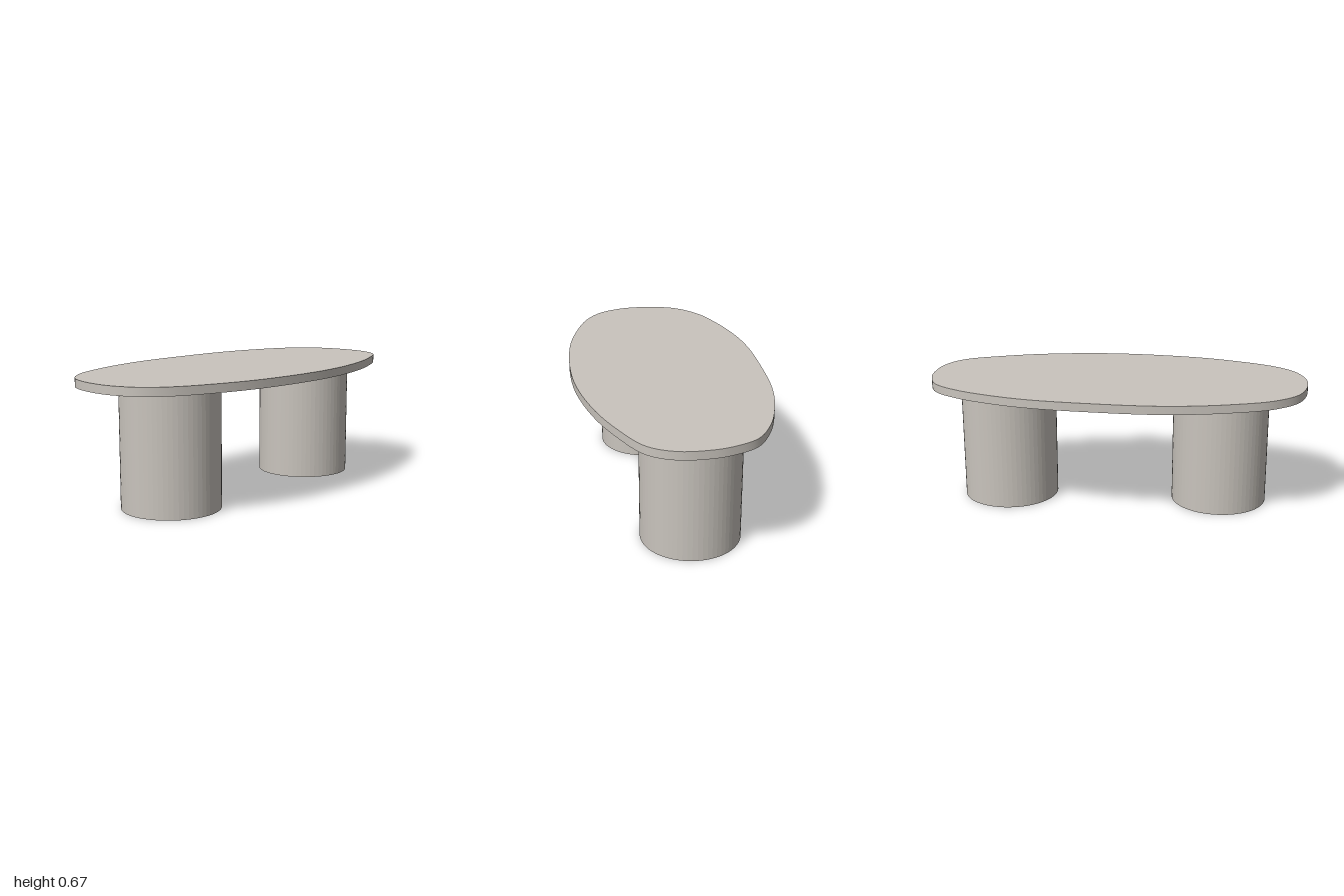
import * as THREE from 'three';
import { toCreasedNormals } from 'three/addons/utils/BufferGeometryUtils.js';

const TOP = 0.672, UNDERSIDE = 0.628;

// Uneven pebble outline of the tabletop, as [x, z]
const OUTLINE = [
  [-1, 0], [-0.985, -0.13], [-0.93, -0.265], [-0.8, -0.377], [-0.61, -0.447], [-0.4, -0.493],
  [-0.2, -0.51], [0.085, -0.497], [0.4, -0.46], [0.62, -0.4], [0.807, -0.318], [0.936, -0.217],
  [0.99, -0.08], [1, 0.02], [0.982, 0.163], [0.904, 0.288], [0.7, 0.386], [0.433, 0.463],
  [0.064, 0.503], [-0.396, 0.457], [-0.663, 0.377], [-0.85, 0.286], [-0.947, 0.19], [-0.99, 0.08],
];

export function createModel() {
  const group = new THREE.Group();
  group.name = 'table';
  const stone = new THREE.MeshStandardMaterial({ color: 0xc9c4bd });
  stone.name = 'warm grey stone';
  const stoneFaceted = stone.clone();
  stoneFaceted.flatShading = true;

  // Tabletop: slab with a smooth rim and sharp edges
  const curve = new THREE.CatmullRomCurve3(
    OUTLINE.map(([x, z]) => new THREE.Vector3(x, z, 0)), true, 'centripetal');
  const points = curve.getPoints(144).slice(0, -1).map((p) => new THREE.Vector2(p.x, p.y));
  const slab = new THREE.ExtrudeGeometry(new THREE.Shape(points), {
    depth: TOP - UNDERSIDE, bevelEnabled: false,
  });
  slab.rotateX(Math.PI / 2);
  const tabletop = new THREE.Mesh(toCreasedNormals(slab, Math.PI / 5), stone);
  tabletop.name = 'tabletop';
  tabletop.position.y = TOP;
  group.add(tabletop);

  // Two thick drum legs with fine facets
  const drum = new THREE.CylinderGeometry(0.255, 0.255, UNDERSIDE, 64);
  for (const [name, x] of [['rightLeg', -0.553], ['leftLeg', 0.593]]) {
    const leg = new THREE.Mesh(drum, stoneFaceted);
    leg.name = name;
    leg.position.set(x, UNDERSIDE / 2, 0.008);
    group.add(leg);
  }
  return group;
}
